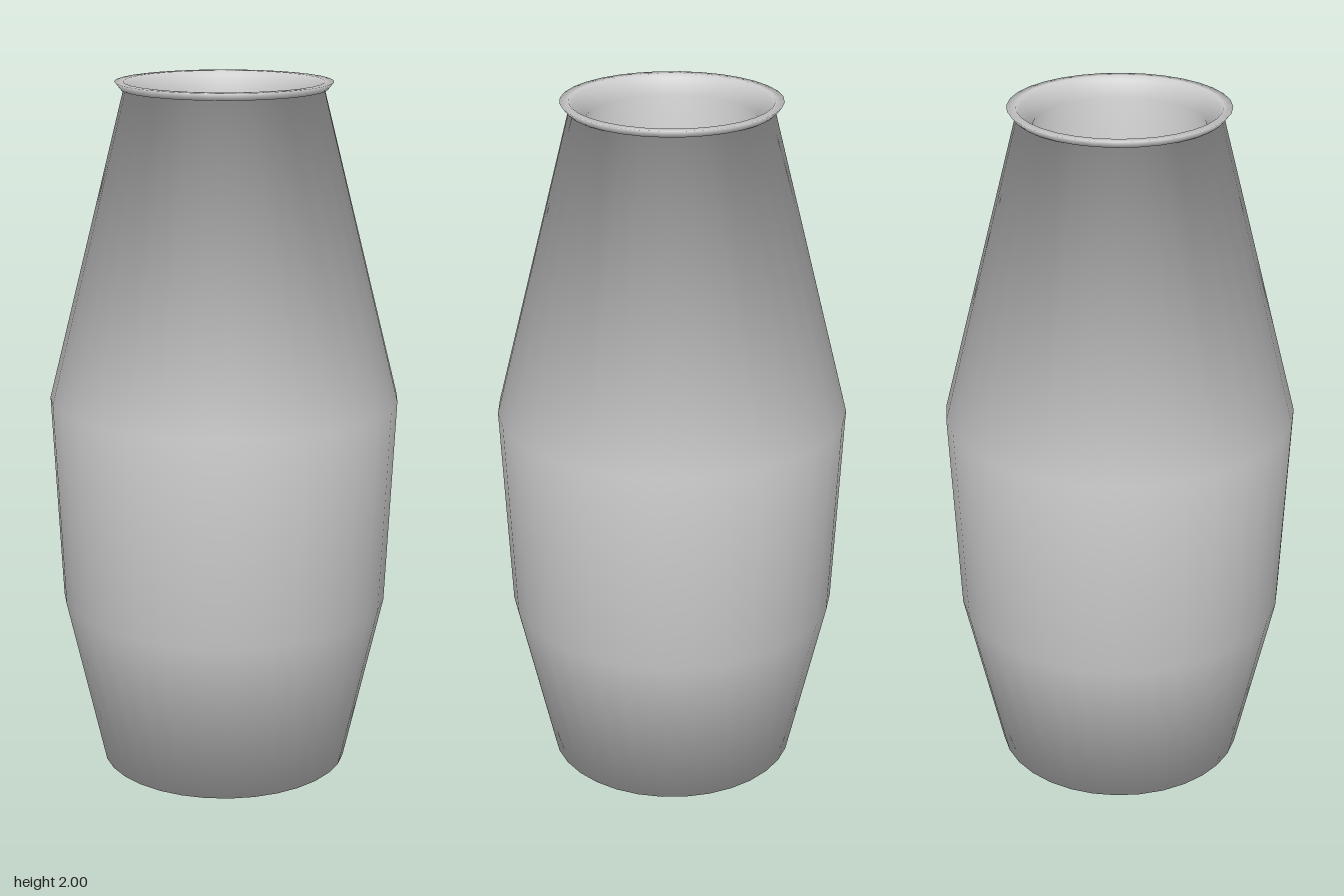
import * as THREE from 'three';

const SEGMENTS = 32;

// Smooth lathe whose edge normals are the even average of the two neighbouring bands
function smoothLathe(points) {
  const geometry = new THREE.LatheGeometry(points, SEGMENTS);
  const bands = points.slice(1).map((p, i) => {
    const d = p.clone().sub(points[i]);
    return new THREE.Vector2(d.y, -d.x).normalize();
  });
  const normals = points.map((p, i) => {
    const n = new THREE.Vector2();
    if (i > 0) n.add(bands[i - 1]);
    if (i < bands.length) n.add(bands[i]);
    return n.normalize();
  });
  const attribute = geometry.attributes.normal;
  for (let s = 0; s <= SEGMENTS; s++) {
    const a = (s / SEGMENTS) * Math.PI * 2;
    normals.forEach((n, j) => {
      attribute.setXYZ(s * points.length + j, n.x * Math.sin(a), n.y, n.x * Math.cos(a));
    });
  }
  return geometry;
}

export function createModel() {
  const group = new THREE.Group();
  group.name = 'vase';

  const ceramic = new THREE.MeshStandardMaterial({ color: 0xcccccc });
  ceramic.name = 'pale grey ceramic';

  const profile = [
    // base and outer wall
    [0, 0], [0.36, 0], [0.472, 0.5], [0.5, 1.1], [0.28, 1.978],
    // flared lip
    [0.288, 1.979], [0.305, 2], [0.28, 2], [0.272, 1.99],
    // narrow throat, hollow inside and floor
    [0.235, 1.95], [0.455, 1.1], [0.428, 0.5], [0.32, 0.04], [0, 0.04],
  ].map(([r, y]) => new THREE.Vector2(r, y));

  const body = new THREE.Mesh(smoothLathe(profile), ceramic);
  body.name = 'vaseBody';
  group.add(body);
  return group;
}
